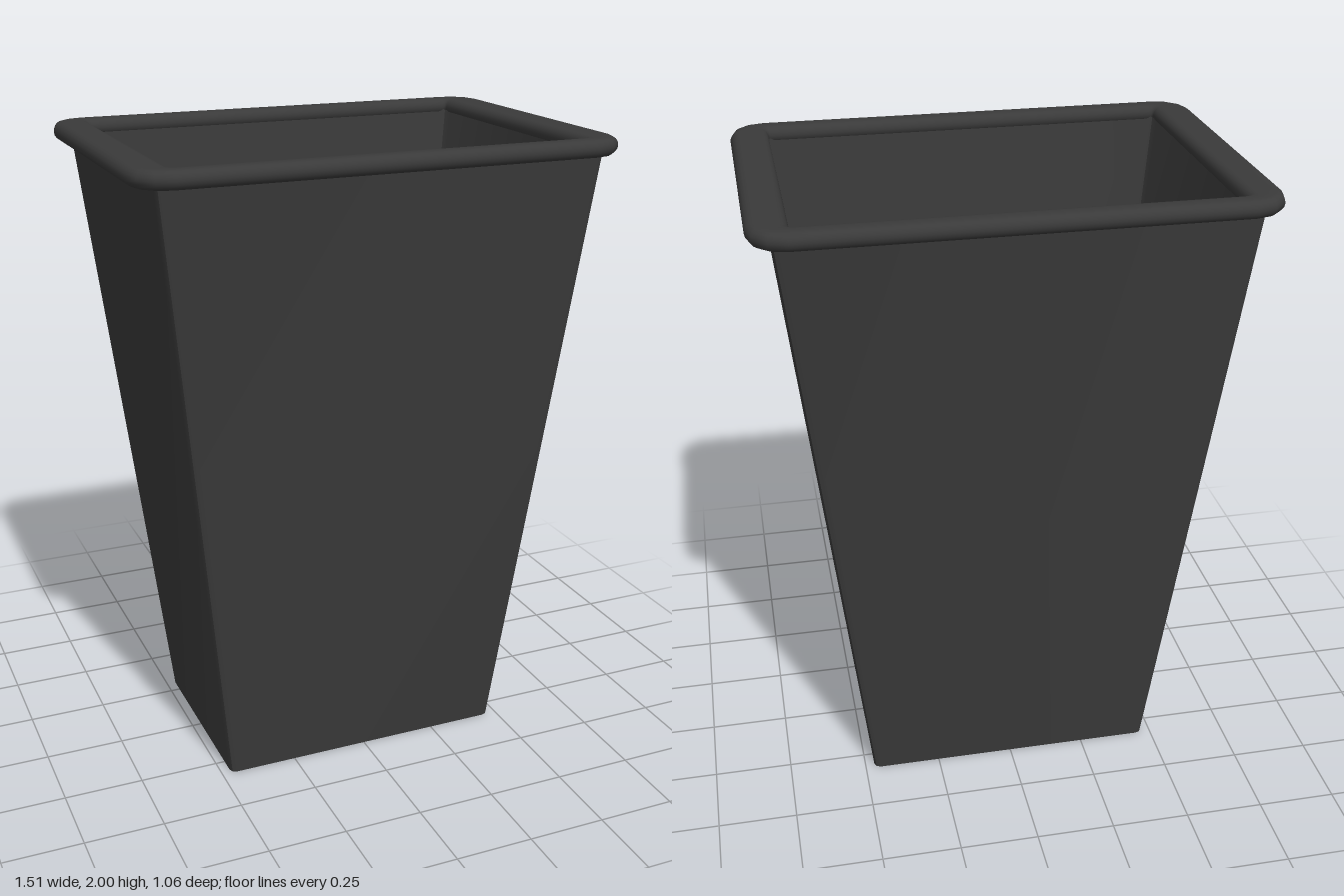
import * as THREE from 'three';
import { toCreasedNormals } from 'three/addons/utils/BufferGeometryUtils.js';

// Outline of a rectangle with rounded corners, at height y
function ring({ hx, hz, y, r }, segs) {
  const pts = [];
  [[1, 1], [-1, 1], [-1, -1], [1, -1]].forEach(([sx, sz], corner) => {
    for (let i = 0; i <= segs; i++) {
      const a = (corner + i / segs) * Math.PI / 2;
      pts.push([sx * (hx - r) + r * Math.cos(a), y, sz * (hz - r) + r * Math.sin(a)]);
    }
  });
  return pts;
}

// Skin a series of outlines; the outside faces out where the series rises
function loft(sections, segs, crease) {
  const rings = sections.map(s => ring(s, segs));
  const n = rings[0].length;
  const pos = [];
  for (let i = 0; i < rings.length - 1; i++) {
    for (let j = 0; j < n; j++) {
      const k = (j + 1) % n;
      const a = rings[i][j], b = rings[i][k], c = rings[i + 1][j], d = rings[i + 1][k];
      pos.push(...a, ...c, ...b, ...b, ...c, ...d);
    }
  }
  const geo = new THREE.BufferGeometry();
  geo.setAttribute('position', new THREE.Float32BufferAttribute(pos, 3));
  return toCreasedNormals(geo, crease);
}

export function createModel() {
  const group = new THREE.Group();
  group.name = 'wasteBin';
  const plastic = new THREE.MeshStandardMaterial({ color: 0x3a3a3a });

  const add = (name, geo) => {
    const mesh = new THREE.Mesh(geo, plastic);
    mesh.name = name;
    group.add(mesh);
  };

  // Tapered bin: underside, outer wall, inner wall and floor in one skin
  add('body', loft([
    { hx: 0, hz: 0, y: 0, r: 0 },
    { hx: 0.47, hz: 0.32, y: 0, r: 0.02 },
    { hx: 0.693, hz: 0.488, y: 1.97, r: 0.025 },
    { hx: 0.642, hz: 0.456, y: 1.97, r: 0.025 },
    { hx: 0.43, hz: 0.3, y: 0.04, r: 0.025 },
    { hx: 0, hz: 0, y: 0.04, r: 0 },
  ], 2, 0.4));

  // Rolled rim: flat band with half-round edges, swept round the mouth
  const R = 0.0275, steps = 8, rim = [];
  for (const outer of [true, false]) {
    for (let i = 0; i <= steps; i++) {
      const a = (outer ? -0.5 : 0.5) * Math.PI + i / steps * Math.PI;
      const c = R * Math.cos(a);
      rim.push({
        hx: (outer ? 0.755 - R : 0.635 + R) + c,
        hz: (outer ? 0.53 - R : 0.45 + R) + c,
        y: 2 - R + R * Math.sin(a),
        r: (outer ? 0.11 - R : 0.01 + R) + c,
      });
    }
  }
  rim.push(rim[0]);
  add('rim', loft(rim, 3, 0.7));

  return group;
}
